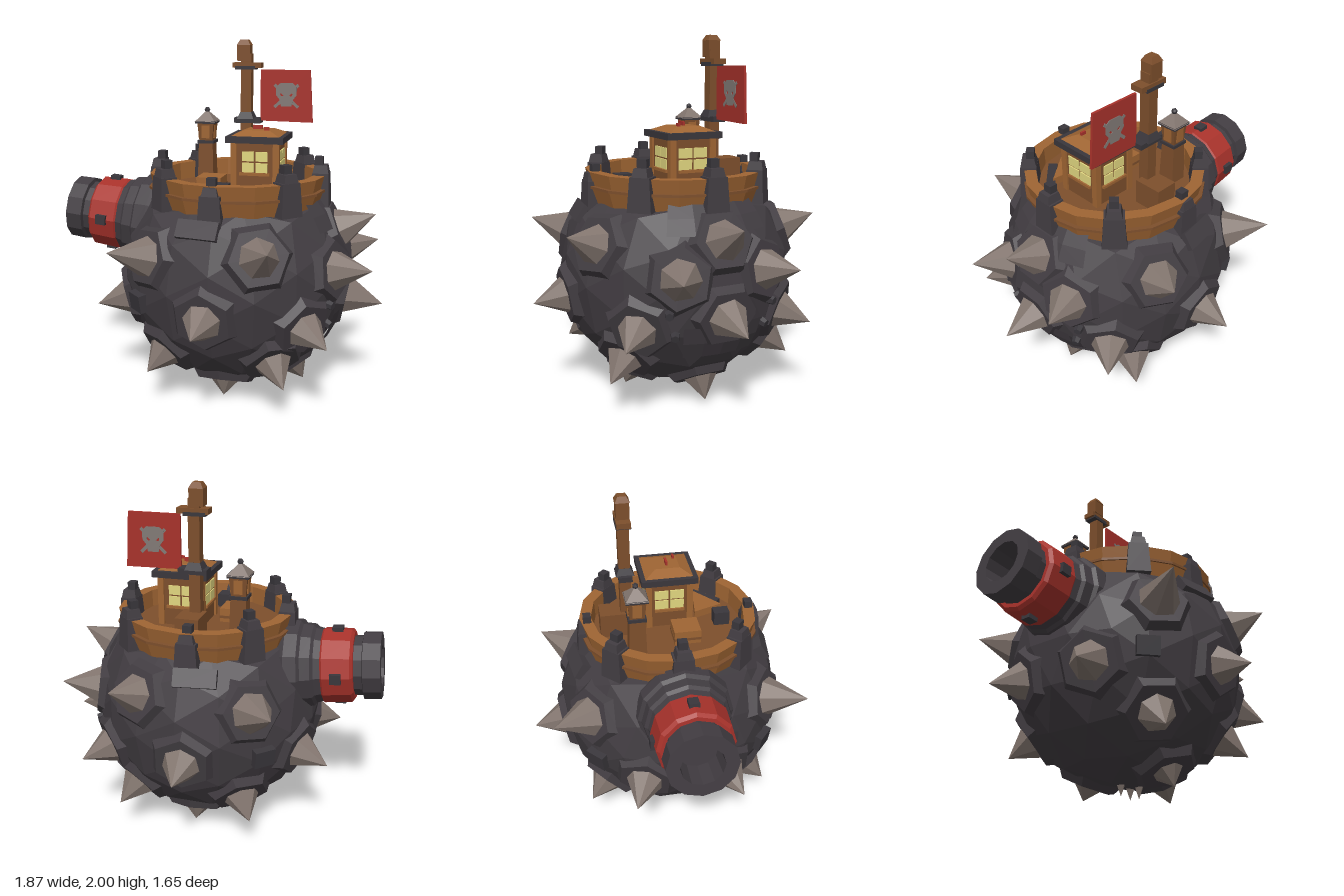
import * as THREE from 'three';

const mat = (name, color) => {
  const m = new THREE.MeshStandardMaterial({ color });
  m.name = name;
  return m;
};

export function createModel() {
  const iron = mat('dark iron', 0x423d42);
  const trim = mat('iron trim', 0x3a373c);
  const spikeMetal = mat('spike metal', 0x83766f);
  const wood = mat('wood', 0x7d4f2c);
  const plank = mat('light plank', 0x9f6533);
  const red = mat('red paint', 0xa8322b);
  const glass = mat('lit glass', 0xe2d780);
  const grey = mat('emblem grey', 0x827a76);

  const model = new THREE.Group();
  const C = new THREE.Vector3(0.08, 0.7, 0); // hull centre
  const UP = new THREE.Vector3(0, 1, 0);

  // Faceted normals on any geometry
  const flat = (g) => {
    const f = g.index ? g.toNonIndexed() : g;
    f.computeVertexNormals();
    return f;
  };
  const add = (name, geo, material, x = 0, y = 0, z = 0, parent = model) => {
    const m = new THREE.Mesh(flat(geo), material);
    m.name = name;
    m.position.set(x, y, z);
    parent.add(m);
    return m;
  };
  const box = (name, w, h, d, material, x, y, z, parent) =>
    add(name, new THREE.BoxGeometry(w, h, d), material, x, y, z, parent);
  const ring = (pts, n) => new THREE.LatheGeometry(pts.map(([r, y]) => new THREE.Vector2(r, y)), n);
  // Square post or pyramid, sized by its sides
  const taper = (top, bottom, h) =>
    new THREE.CylinderGeometry(top * Math.SQRT1_2, bottom * Math.SQRT1_2, h, 4).rotateY(Math.PI / 4);

  // Hull: faceted ball, cut flat under the deck
  const ball = new THREE.IcosahedronGeometry(0.655, 2);
  const p = ball.attributes.position;
  for (let i = 0; i < p.count; i++) p.setY(i, Math.min(p.getY(i), 0.43));
  add('hull', ball, iron, C.x, C.y, C.z);

  // Curved armour shells on the left flank: half width, top and bottom angles
  for (const [half, top, bottom] of [[0.5, 0.82, 1.1], [0.36, 1.82, 2.12]])
    add('armourShell', new THREE.SphereGeometry(0.662, 4, 2, Math.PI - half, half * 2, top, bottom - top), iron, C.x, C.y, C.z);

  // Spikes, given by their tips; those off the middle plane are mirrored
  const tips = [
    [0.04, 0.56, 0.825], [0.4, 1.0, 0.735], [-0.44, 0.94, 0.7], [0.88, 0.83, 0.325],
    [0.68, 0.46, 0.54], [0.46, 0.21, 0.54], [-0.3, 0.22, 0.53], [0.08, 0.02, 0.31],
    [-0.68, 0.5, 0.3], [0.93, 0.54, 0], [0.87, 1.06, 0], [0.49, 0.03, 0],
  ];
  const addSpike = (x, y, z) => {
    const dir = new THREE.Vector3(x, y, z).sub(C);
    const h = dir.length() - 0.6;
    const g = new THREE.Group();
    g.name = 'spike';
    g.position.copy(C);
    g.quaternion.setFromUnitVectors(UP, dir.normalize());
    model.add(g);
    add('spikePlate', new THREE.CylinderGeometry(0.16, 0.2, 0.06, 6), iron, 0, 0.63, 0, g);
    add('spikeCone', new THREE.ConeGeometry(0.14, h, 7), spikeMetal, 0, 0.6 + h / 2, 0, g);
  };
  for (const [x, y, z] of tips) for (const s of z ? [1, -1] : [1]) addSpike(x, y, s * z);

  // Small keel spikes
  for (const [x, z] of [[0.03, 0], [0.15, 0.03], [0.15, -0.03]])
    add('keelSpike', new THREE.ConeGeometry(0.03, 0.08, 6).rotateX(Math.PI), spikeMetal, x, 0.04, z);

  // Armour patches and studs lying on the hull
  const onHull = (name, geo, material, x, y, z, r) => {
    const d = new THREE.Vector3(x, y, z).normalize();
    const m = add(name, geo, material);
    m.position.copy(C).addScaledVector(d, r);
    m.lookAt(m.position.clone().add(d));
  };
  for (const s of [1, -1]) {
    onHull('armourPatch', new THREE.BoxGeometry(0.12, 0.1, 0.06), trim, -0.43, -0.09, s * 0.47, 0.65);
    onHull('armourPatch', new THREE.BoxGeometry(0.23, 0.1, 0.06), iron, -0.08, 0.34, s * 0.53, 0.635);
    for (const [y, z] of [[-0.08, 0.28], [-0.2, 0.25]])
      onHull('stud', new THREE.CylinderGeometry(0.022, 0.028, 0.04, 6).rotateX(Math.PI / 2), trim, 0.55, y, s * z, 0.66);
  }

  // Cannon: turned parts along a slightly raised axis
  const cannon = new THREE.Group();
  cannon.name = 'cannon';
  cannon.position.set(-0.3, 0.945, 0);
  cannon.rotation.z = Math.PI / 2 - 0.1;
  model.add(cannon);
  add('cannonNeck', ring([[0, 0.06], [0.25, 0.07], [0.268, 0.11], [0.262, 0.18], [0.242, 0.195],
    [0.235, 0.25], [0.218, 0.265], [0.205, 0.31], [0, 0.31]], 12), iron, 0, 0, 0, cannon);
  add('cannonBand', ring([[0, 0.29], [0.2, 0.29], [0.215, 0.31], [0.208, 0.46], [0.19, 0.475], [0, 0.475]], 12), red, 0, 0, 0, cannon);
  add('cannonMuzzle', ring([[0.168, 0.45], [0.168, 0.52], [0.19, 0.525], [0.187, 0.62], [0.115, 0.62], [0.11, 0.478], [0, 0.478]], 12),
    iron, 0, 0, 0, cannon);
  for (let i = 0; i < 4; i++) {
    const a = i * Math.PI / 2;
    const b = box('bandClasp', 0.03, 0.06, 0.055, trim, Math.cos(a) * 0.212, 0.385, Math.sin(a) * 0.212, cannon);
    b.rotation.y = -a;
  }

  // Deck and two-course wooden rail
  const cx = 0.09;
  add('deck', new THREE.CylinderGeometry(0.46, 0.46, 0.06, 16), wood, cx, 1.14, 0);
  add('lowerRail', ring([[0.43, 1.1], [0.475, 1.1], [0.505, 1.19], [0.44, 1.19]], 16), plank, cx);
  add('upperRail', ring([[0.44, 1.18], [0.485, 1.18], [0.505, 1.27], [0.44, 1.27], [0.435, 1.16]], 16), plank, cx);
  add('railSeam', ring([[0.48, 1.183], [0.512, 1.183], [0.512, 1.197], [0.48, 1.197]], 16), wood, cx);
  // Rail posts; the two at front and back sit lower
  for (let i = 0; i < 8; i++) {
    const a = i * Math.PI / 4;
    const low = i % 4 === 2;
    const g = new THREE.Group();
    g.name = 'railPost';
    g.position.set((low ? 0.055 : cx) + Math.cos(a) * 0.47, low ? -0.06 : 0, Math.sin(a) * 0.475);
    g.rotation.y = -a;
    model.add(g);
    add('postFoot', taper(0.09, 0.11, 0.18).scale(1, 1, 1.2), iron, 0, 1.19, 0, g);
    add('postBody', taper(0.07, 0.09, 0.05), iron, 0, 1.3, 0, g);
    box('postTip', 0.045, 0.05, 0.05, trim, -0.012, 1.345, 0, g);
  }

  // Cabin with cross-barred windows on every wall
  const cabin = new THREE.Group();
  cabin.name = 'cabin';
  cabin.position.set(0.21, 0, 0.01);
  model.add(cabin);
  box('cabinWalls', 0.25, 0.3, 0.25, wood, 0, 1.31, 0, cabin);
  box('roofFrame', 0.32, 0.035, 0.32, trim, 0, 1.468, 0, cabin);
  add('roof', taper(0.14, 0.28, 0.03), plank, 0, 1.498, 0, cabin);
  box('roofPennant', 0.055, 0.03, 0.012, red, -0.01, 1.52, 0, cabin);
  box('roofPennant', 0.03, 0.03, 0.012, red, 0.05, 1.515, 0.05, cabin);
  for (let i = 0; i < 4; i++) {
    const wall = new THREE.Group();
    wall.name = 'cabinSide';
    wall.rotation.y = i * Math.PI / 2;
    cabin.add(wall);
    const w = i % 2 ? 0.078 : 0.066; // side windows are wider
    box('cornerPost', 0.035, 0.3, 0.035, plank, 0.118, 1.31, 0.118, wall);
    for (const sx of [-1, 1]) for (const sy of [-1, 1])
      box('windowPane', w, 0.053, 0.008, glass, sx * (w / 2 + 0.005), 1.345 + sy * 0.031, 0.128, wall);
    box('windowSill', 0.17, 0.015, 0.02, plank, 0, 1.278, 0.13, wall);
  }

  // Lantern tower
  const tower = new THREE.Group();
  tower.name = 'lanternTower';
  tower.position.set(-0.155, 0, -0.21);
  model.add(tower);
  add('towerPost', taper(0.085, 0.1, 0.27), wood, 0, 1.27, 0, tower);
  box('towerBand', 0.1, 0.018, 0.1, trim, 0, 1.405, 0, tower);
  add('lanternBody', taper(0.1, 0.08, 0.11), wood, 0, 1.465, 0, tower);
  for (let i = 0; i < 4; i++) {
    const g = new THREE.Group();
    g.name = 'lanternSide';
    g.rotation.y = i * Math.PI / 2;
    tower.add(g);
    box('lanternPanel', 0.05, 0.075, 0.008, plank, 0, 1.465, 0.046, g);
  }
  box('lanternEave', 0.12, 0.015, 0.12, trim, 0, 1.522, 0, tower);
  add('lanternRoof', taper(0.015, 0.125, 0.06), spikeMetal, 0, 1.555, 0, tower);
  add('finial', new THREE.IcosahedronGeometry(0.018, 0), trim, 0, 1.593, 0, tower);

  // Mast with collars
  const mx = 0.08, mz = -0.24;
  box('mast', 0.062, 0.78, 0.062, wood, mx, 1.53, mz);
  box('mastHead', 0.078, 0.09, 0.07, wood, 0.065, 1.925, mz);
  add('mastTip', taper(0.045, 0.078, 0.03), wood, 0.065, 1.985, mz);
  box('upperCollar', 0.17, 0.03, 0.075, wood, 0.085, 1.855, mz);
  box('upperBand', 0.12, 0.02, 0.08, trim, 0.075, 1.84, mz);
  box('lowerCollar', 0.16, 0.03, 0.075, trim, 0.09, 1.535, mz);
  add('lowerWedge', taper(0.065, 0.1, 0.04), trim, mx, 1.565, mz);

  // Flag with a simple skull and crossed bones
  const poly = (pts) => new THREE.Shape(pts.map(([x, y]) => new THREE.Vector2(x, y)));
  const plate = (shape, d) => new THREE.ExtrudeGeometry(shape, { depth: d, bevelEnabled: false, curveSegments: 5 }).translate(0, 0, -d / 2);
  add('flag', plate(poly([[0.165, 1.535], [0.475, 1.53], [0.455, 1.83], [0.165, 1.83]]), 0.014), red, 0, 0, -0.23);
  const skull = poly([[-0.03, -0.065], [0.03, -0.065], [0.04, -0.025], [0.06, 0], [0.06, 0.05],
    [0.035, 0.07], [-0.035, 0.07], [-0.06, 0.05], [-0.06, 0], [-0.04, -0.025]]);
  for (const s of [-1, 1]) skull.holes.push(new THREE.Path().absarc(s * 0.025, 0.005, 0.011, 0, Math.PI * 2, true));
  add('flagSkull', plate(skull, 0.022), grey, 0.318, 1.685, -0.23);
  for (const s of [-1, 1]) {
    const bone = box('flagBone', 0.19, 0.018, 0.018, grey, 0.318, 1.68, -0.23);
    bone.rotation.z = s * 0.75;
  }

  // Deck cargo
  box('crate', 0.14, 0.1, 0.15, plank, -0.05, 1.2, 0.08);
  box('crateStrap', 0.145, 0.015, 0.155, wood, -0.05, 1.2, 0.08);
  box('chest', 0.13, 0.15, 0.16, wood, 0.09, 1.235, -0.31);
  box('bollard', 0.07, 0.1, 0.09, trim, 0.07, 1.2, 0.31);
  // Hatch cover with a dark kerb beside it
  add('hatchCover', plate(poly([[0.13, -0.17], [0.19, -0.34], [0.37, -0.2]]), 0.05).rotateX(-Math.PI / 2), plank, 0, 1.19, 0);
  const kerb = box('hatchKerb', 0.24, 0.04, 0.05, trim, 0.34, 1.18, 0.25);
  kerb.rotation.y = 0.8;

  return model;
}
